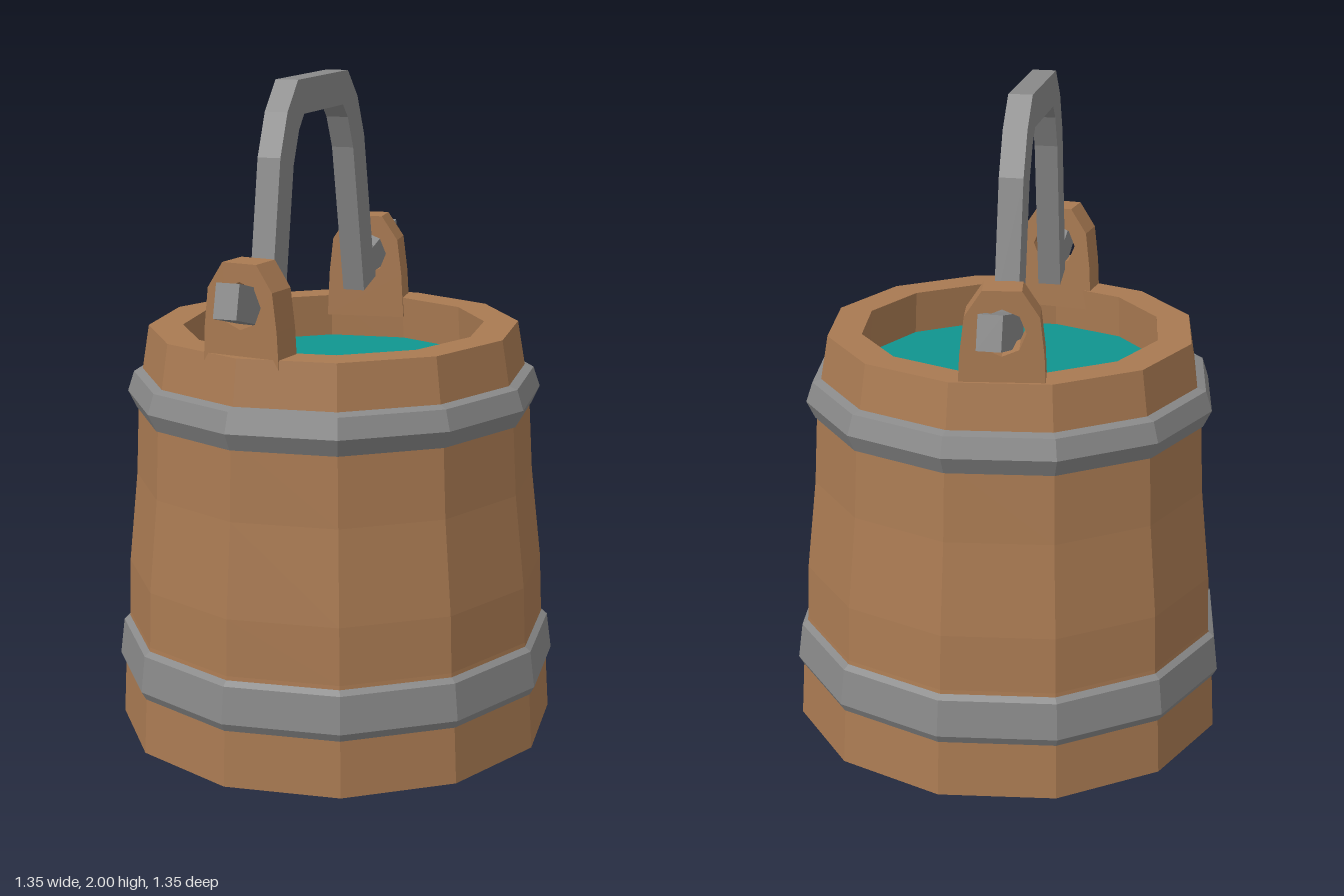
import * as THREE from 'three';

const SIDES = 12;
const wood = new THREE.MeshStandardMaterial({ color: 0xa97a52 });
const metal = new THREE.MeshStandardMaterial({ color: 0x898989 });
const water = new THREE.MeshStandardMaterial({ color: 0x10958f });
wood.name = 'wood';
metal.name = 'metal';
water.name = 'water';

// Faceted mesh: one normal per face
function flatMesh(geometry, material, name) {
  const g = geometry.index ? geometry.toNonIndexed() : geometry;
  g.computeVertexNormals();
  const mesh = new THREE.Mesh(g, material);
  mesh.name = name;
  return mesh;
}

const points = (list) => list.map(([x, y]) => new THREE.Vector2(x, y));

// Twelve-sided turned part, its corners aligned with the staves
function turned(profile, material, name) {
  const mesh = flatMesh(new THREE.LatheGeometry(points(profile), SIDES), material, name);
  mesh.rotation.y = -0.133;
  return mesh;
}

// Closed outline of a strip of the given thickness along a path, with mitred bends
function stripShape(path, thickness) {
  const left = [], right = [];
  path.forEach((p, i) => {
    const before = p.clone().sub(path[Math.max(i - 1, 0)]).normalize();
    const after = path[Math.min(i + 1, path.length - 1)].clone().sub(p).normalize();
    if (i === 0) before.copy(after);
    if (i === path.length - 1) after.copy(before);
    const n1 = new THREE.Vector2(-before.y, before.x);
    const n2 = new THREE.Vector2(-after.y, after.x);
    const mitre = n1.clone().add(n2).normalize();
    mitre.multiplyScalar(thickness / 2 / mitre.dot(n1));
    left.push(p.clone().add(mitre));
    right.unshift(p.clone().sub(mitre));
  });
  return new THREE.Shape([...left, ...right]);
}

function extruded(shape, depth) {
  const g = new THREE.ExtrudeGeometry(shape, { depth, bevelEnabled: false, curveSegments: 4 });
  return g.translate(0, 0, -depth / 2);
}

export function createModel() {
  const model = new THREE.Group();
  model.name = 'bucket';

  // The bucket is turned about y and leans very slightly
  const body = new THREE.Group();
  body.name = 'bucketBody';
  body.rotation.set(0, 0.64, 0.0206, 'YXZ');
  body.position.y = 0.014;
  model.add(body);

  // Staves, rim, inner wall and base in one profile
  body.add(turned([
    [0, 0], [0.67, 0], [0.66, 0.18], [0.643, 0.33], [0.637, 0.5], [0.607, 0.78],
    [0.595, 1.02], [0.558, 1.242], [0.455, 1.242], [0.465, 1.05],
  ], wood, 'staves'));

  // Water surface
  const surface = flatMesh(new THREE.CircleGeometry(0.462, SIDES).rotateX(-Math.PI / 2), water, 'water');
  surface.rotation.y = -0.133;
  surface.position.y = 1.11;
  body.add(surface);

  // Metal hoops
  body.add(turned([[0.64, 0.17], [0.662, 0.17], [0.676, 0.195], [0.662, 0.305], [0.635, 0.325]], metal, 'lowerHoop'));
  body.add(turned([[0.585, 0.985], [0.602, 0.988], [0.627, 1.04], [0.607, 1.1], [0.57, 1.112]], metal, 'upperHoop'));

  // Pierced lugs standing on the rim
  const lugShape = new THREE.Shape(points([
    [-0.125, 1.18], [0.125, 1.18], [0.118, 1.32], [0.105, 1.43],
    [0.055, 1.505], [-0.055, 1.505], [-0.105, 1.43], [-0.118, 1.32],
  ]));
  const hole = new THREE.Path();
  hole.absarc(0, 1.385, 0.068, 0, Math.PI * 2, true);
  lugShape.holes.push(hole);
  for (const side of [1, -1]) {
    const lug = flatMesh(extruded(lugShape, 0.1), wood, side > 0 ? 'leftLug' : 'rightLug');
    lug.position.set(side * 0.475, 0, -0.065);
    lug.rotation.y = side * (Math.PI / 2 + 0.14);
    body.add(lug);
  }

  // Handle: arch whose ends bend outward through the lugs
  const half = [[0.64, 1.42], [0.365, 1.345], [0.285, 1.76], [0.235, 1.87], [0.175, 1.933]];
  const path = points([...half, ...half.map(([x, y]) => [-x, y]).reverse()]);
  const handle = flatMesh(extruded(stripShape(path, 0.1), 0.07), metal, 'handle');
  handle.position.z = -0.06;
  body.add(handle);

  return model;
}
